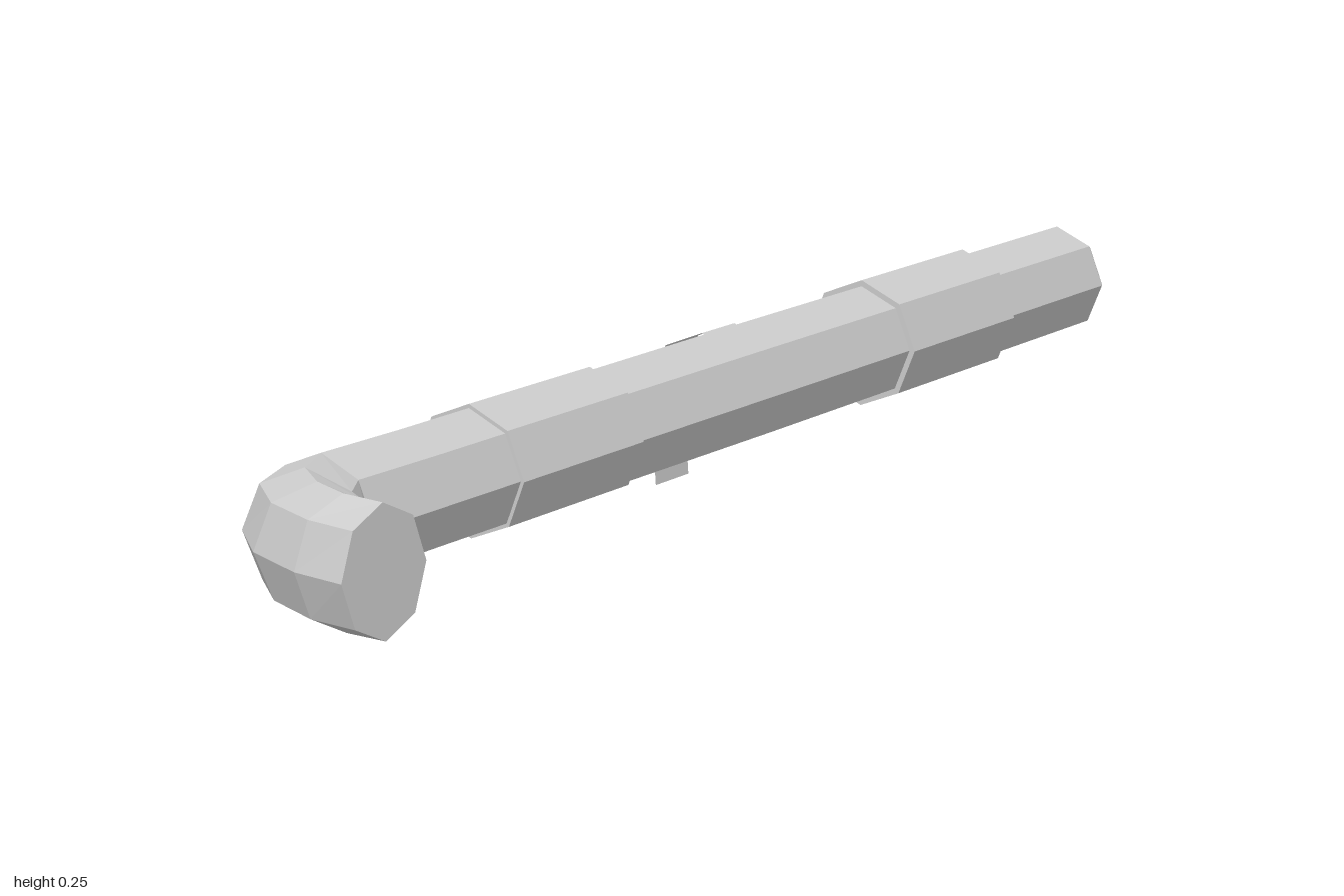
import * as THREE from 'three';

const SIDES = 8, AXIS_Y = 0.148, AXIS_Z = -0.063;

// Lofts capped octagonal rings; each ring is [outerX, outerZ, innerX, innerZ, verticalRadius].
function loft(rings) {
  const pts = rings.map(([ox, oz, ix, iz, r]) => Array.from({ length: SIDES }, (_, j) => {
    const a = (j / SIDES) * Math.PI * 2, c = Math.cos(a) / 2;
    return [(ox + ix) / 2 + c * (ox - ix), AXIS_Y + Math.sin(a) * r, (oz + iz) / 2 + c * (oz - iz)];
  }));
  const centre = ([ox, oz, ix, iz]) => [(ox + ix) / 2, AXIS_Y, (oz + iz) / 2];
  const first = centre(rings[0]), last = centre(rings[rings.length - 1]), end = pts.length - 1;
  const pos = [];
  for (let j = 0; j < SIDES; j++) {
    const k = (j + 1) % SIDES;
    pos.push(...first, ...pts[0][j], ...pts[0][k]);
    for (let i = 0; i < end; i++) {
      pos.push(...pts[i][j], ...pts[i + 1][j], ...pts[i + 1][k]);
      pos.push(...pts[i][j], ...pts[i + 1][k], ...pts[i][k]);
    }
    pos.push(...last, ...pts[end][k], ...pts[end][j]);
  }
  const g = new THREE.BufferGeometry();
  g.setAttribute('position', new THREE.Float32BufferAttribute(pos, 3));
  g.computeVertexNormals();
  return g;
}

// Ring square to the straight axis.
const straight = (x, r) => [x, AXIS_Z - r, x, AXIS_Z + r, r];

export function createModel() {
  const group = new THREE.Group();
  const mat = new THREE.MeshStandardMaterial({ color: 0xcccccc, flatShading: true });
  const add = (name, geometry, material = mat) => {
    const mesh = new THREE.Mesh(geometry, material);
    mesh.name = name;
    group.add(mesh);
  };

  // Straight tube with a bevelled tip, bending forward at the other end
  add('bentTube', loft([
    straight(1, 0.084),
    straight(0.993, 0.088),
    straight(0.09, 0.089),
    straight(-0.25, 0.088),
    straight(-0.65, 0.087),
    [-0.8, -0.152, -0.8, 0.024, 0.088],
    [-0.895, -0.115, -0.84, 0.055, 0.089],
    [-0.96, -0.035, -0.857, 0.09, 0.089],
    [-0.995, 0.065, -0.866, 0.115, 0.089],
    [-1, 0.146, -0.861, 0.161, 0.088],
  ]));

  // Sleeves around the tube
  add('wideSleeve', loft([straight(0.705, 0.098), straight(0.42, 0.098)]));
  add('narrowSleeve', loft([straight(-0.25, 0.093), straight(-0.51, 0.093)]));

  // Thin strap folded over the top, its tail hanging behind
  const R = 0.092, D = R * Math.SQRT1_2;
  const path = [
    [AXIS_Y + D, AXIS_Z + D], [AXIS_Y + R, AXIS_Z], [AXIS_Y + D, AXIS_Z - D],
    [AXIS_Y, AXIS_Z - R - 0.002], [0, -0.147],
  ];
  const strap = new THREE.PlaneGeometry(0.08, 1, 1, path.length - 1);
  const p = strap.attributes.position;
  for (let i = 0; i < p.count; i++) {
    const [y, z] = path[Math.floor(i / 2)];
    p.setXYZ(i, p.getX(i) + 0.05, y, z);
  }
  strap.computeVertexNormals();
  const strapMat = mat.clone();
  strapMat.side = THREE.DoubleSide;
  add('strap', strap, strapMat);

  return group;
}
